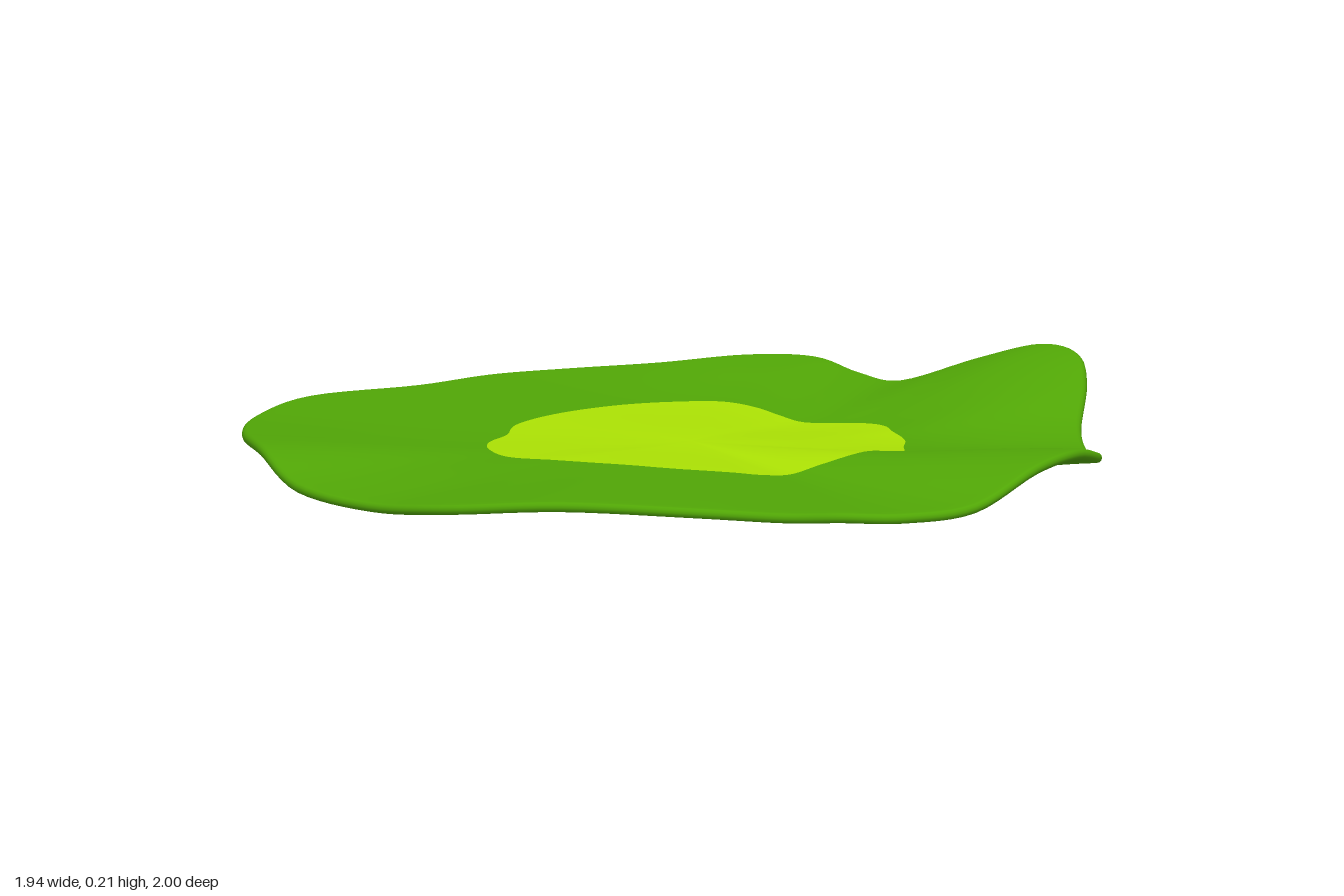
import * as THREE from 'three';

// Rim control points of the wavy leaf: x, y, z
const RIM = [
  [0.965, 0.095, -0.07], [0.93, 0.087, 0.1], [0.88, 0.097, 0.24], [0.87, 0.115, 0.4], [0.8, 0.138, 0.59],
  [0.56, 0.138, 0.79], [0.33, 0.113, 0.94], [0.1, 0.087, 0.98], [-0.15, 0.092, 0.995], [-0.38, 0.127, 0.92],
  [-0.63, 0.107, 0.78], [-0.83, 0.087, 0.59], [-0.955, 0.08, 0.35], [-0.955, 0.067, 0.05], [-0.97, 0.062, -0.17],
  [-0.88, 0.072, -0.32], [-0.75, 0.087, -0.48], [-0.69, 0.09, -0.68], [-0.58, 0.09, -0.79], [-0.43, 0.077, -0.8],
  [-0.28, 0.082, -0.81], [-0.14, 0.142, -0.92], [0, 0.188, -0.99], [0.13, 0.188, -0.99], [0.25, 0.152, -0.92],
  [0.4, 0.09, -0.79], [0.56, 0.075, -0.69], [0.78, 0.12, -0.56], [0.87, 0.158, -0.43], [0.93, 0.153, -0.27],
];
// Edge of the pale heart towards each rim point: radius, underside y, top y
const HEART = [
  [0.44, 0.05, 0.115], [0.43, 0.045, 0.1], [0.43, 0.04, 0.105], [0.43, 0.035, 0.115], [0.44, 0.03, 0.125],
  [0.41, 0.025, 0.125], [0.41, 0.02, 0.122], [0.43, 0.015, 0.118], [0.465, 0.012, 0.11], [0.465, 0.012, 0.105],
  [0.45, 0.012, 0.095], [0.43, 0.015, 0.088], [0.465, 0.025, 0.085], [0.48, 0.035, 0.085], [0.49, 0.04, 0.085],
  [0.5, 0.04, 0.085], [0.51, 0.035, 0.085], [0.54, 0.035, 0.08], [0.515, 0.03, 0.075], [0.475, 0.025, 0.07],
  [0.455, 0.02, 0.065], [0.485, 0.01, 0.07], [0.5, 0.005, 0.078], [0.5, 0.005, 0.083], [0.485, 0.005, 0.085],
  [0.485, 0.01, 0.085], [0.475, 0.025, 0.09], [0.49, 0.045, 0.105], [0.455, 0.055, 0.12], [0.45, 0.055, 0.125],
];
const CENTRE_TOP = 0.1, CENTRE_BOTTOM = 0.035, HALF = 0.012;
const SEGMENTS = 180, INNER = 10, OUTER = 18, EDGE = 6;

const closedCurve = (pts) => new THREE.CatmullRomCurve3(pts.map((p) => new THREE.Vector3(...p)), true, 'catmullrom', 0.5);

function hermite(a, b, ma, mb, t) {
  const t2 = t * t, t3 = t2 * t;
  return (2 * t3 - 3 * t2 + 1) * a + (t3 - 2 * t2 + t) * ma + (3 * t2 - 2 * t3) * b + (t3 - t2) * mb;
}

// Height of one face along a spoke; s runs 0..1 over the heart and 1..2 over the outer leaf
function faceHeight(s, centre, heart, rim, r, R) {
  const slope = (rim - centre) / R, gap = R - r;
  return s <= 1
    ? hermite(centre, heart, 0, slope * r, s)
    : hermite(heart, rim, slope * gap, (rim - heart) * 0.6, s - 1);
}

// Cross-section from top centre, round the rim, to bottom centre:
// s along the spoke, side (1 top, -1 underside, between them on the rounded edge), rim inset
function crossSection() {
  const top = [];
  for (let i = 0; i <= INNER; i++) top.push([i / INNER, 1, 0]);
  for (let i = 1; i <= OUTER; i++) top.push([1 + i / OUTER, 1, HALF * (i / OUTER)]);
  const edge = [];
  for (let i = 1; i < EDGE; i++) {
    const a = (i / EDGE) * Math.PI;
    edge.push([2, Math.cos(a), HALF * (1 - Math.sin(a))]);
  }
  const bottom = top.map(([s, , inset]) => [s, -1, inset]).reverse();
  return [...top, ...edge, ...bottom];
}

function leafGeometry() {
  const rim = closedCurve(RIM), heart = closedCurve(HEART);
  const rows = crossSection();
  const positions = [], index = [];

  const spokes = [];
  for (let j = 0; j < SEGMENTS; j++) {
    const p = rim.getPoint(j / SEGMENTS), h = heart.getPoint(j / SEGMENTS);
    const R = Math.hypot(p.x, p.z);
    spokes.push({ dx: p.x / R, dz: p.z / R, R, r: h.x, low: h.y, high: h.z, rimY: p.y });
  }

  for (const [s, side, inset] of rows) {
    for (const { dx, dz, R, r, low, high, rimY } of spokes) {
      const radius = s <= 1 ? r * s : r + (R - r) * (s - 1) - inset;
      const top = faceHeight(s, CENTRE_TOP, high, rimY + HALF, r, R);
      const bottom = faceHeight(s, CENTRE_BOTTOM, low, rimY - HALF, r, R);
      positions.push(dx * radius, THREE.MathUtils.lerp(bottom, top, (side + 1) / 2), dz * radius);
    }
  }

  for (let i = 0; i < rows.length - 1; i++) {
    for (let j = 0; j < SEGMENTS; j++) {
      const k = (j + 1) % SEGMENTS;
      const a = i * SEGMENTS + j, b = a + SEGMENTS, c = (i + 1) * SEGMENTS + k, d = i * SEGMENTS + k;
      index.push(a, c, b, a, d, c);
    }
  }

  const geometry = new THREE.BufferGeometry();
  geometry.setAttribute('position', new THREE.Float32BufferAttribute(positions, 3));
  geometry.setIndex(index);
  geometry.computeVertexNormals();

  // Pale heart on both faces, green leaf between them
  const heartCount = INNER * SEGMENTS * 6;
  geometry.addGroup(0, heartCount, 1);
  geometry.addGroup(heartCount, index.length - 2 * heartCount, 0);
  geometry.addGroup(index.length - heartCount, heartCount, 1);

  // Rest the lowest point on the ground
  geometry.computeBoundingBox();
  geometry.translate(0, -geometry.boundingBox.min.y, 0);
  return geometry;
}

export function createModel() {
  const leafGreen = new THREE.MeshStandardMaterial({ color: 0x51a606 });
  leafGreen.name = 'leafGreen';
  const paleHeart = new THREE.MeshStandardMaterial({ color: 0xace204 });
  paleHeart.name = 'paleHeart';

  const leaf = new THREE.Mesh(leafGeometry(), [leafGreen, paleHeart]);
  leaf.name = 'wavyLeaf';

  const group = new THREE.Group();
  group.name = 'lettuceLeaf';
  group.add(leaf);
  return group;
}
